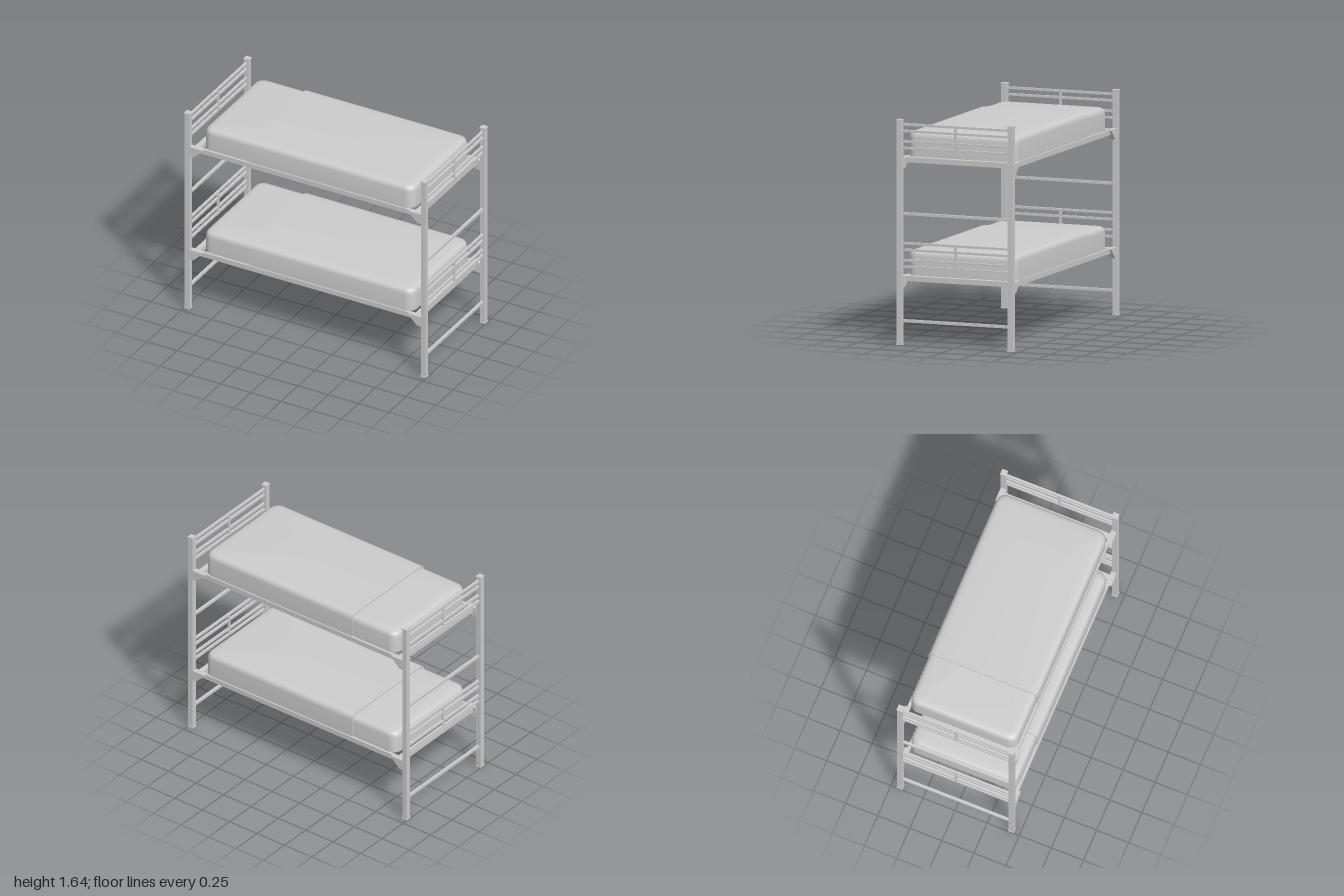
import * as THREE from 'three';
import { toCreasedNormals } from 'three/addons/utils/BufferGeometryUtils.js';

const metal = new THREE.MeshStandardMaterial({ color: 0xcccccc });
const POST_X = 0.977, POST_Z = 0.434;

function box(parent, name, w, h, d, x, y, z) {
  const mesh = new THREE.Mesh(new THREE.BoxGeometry(w, h, d), metal);
  mesh.name = name;
  mesh.position.set(x, y, z);
  parent.add(mesh);
  return mesh;
}

// Soft slab: rounded outline lofted through [inset, height] steps.
// With cutLeft the -x end stays flat and square.
function softSlab(x0, x1, halfZ, radius, profile, cutLeft) {
  const outline = (inset) => {
    const left = x0 + (cutLeft ? 0 : inset), right = x1 - inset, hz = halfZ - inset;
    const pts = [];
    const corner = (sx, sz, start, r, steps) => {
      const cx = sx > 0 ? right - r : left + r;
      for (let i = 0; i <= steps; i++) {
        const a = start + (i / Math.max(steps, 1)) * Math.PI / 2;
        pts.push([cx + r * Math.cos(a), sz * (hz - r) - r * Math.sin(a)]);
      }
    };
    const r = Math.max(radius - inset * 0.5, 0.02);
    const rl = cutLeft ? 0 : r, nl = cutLeft ? 0 : 8;
    corner(1, -1, 0, r, 8);
    corner(-1, -1, Math.PI / 2, rl, nl);
    corner(-1, 1, Math.PI, rl, nl);
    corner(1, 1, Math.PI * 1.5, r, 8);
    return pts;
  };
  const pos = [], index = [];
  let n = 0;
  for (const [inset, y] of profile) {
    const ring = outline(inset);
    n = ring.length;
    for (const [x, z] of ring) pos.push(x, y, z);
  }
  const last = (profile.length - 1) * n, bottom = profile.length * n, top = bottom + 1;
  pos.push((x0 + x1) / 2, profile[0][1], 0, (x0 + x1) / 2, profile[profile.length - 1][1], 0);
  for (let i = 0; i < n; i++) {
    const j = (i + 1) % n;
    for (let k = 0; k < last; k += n) {
      index.push(k + i, k + j, k + n + j, k + i, k + n + j, k + n + i);
    }
    index.push(bottom, j, i, top, last + i, last + j);
  }
  const geo = new THREE.BufferGeometry();
  geo.setAttribute('position', new THREE.Float32BufferAttribute(pos, 3));
  geo.setIndex(index);
  return toCreasedNormals(geo, 0.9);
}

// Edge profile of the bedding: straight side, rounded shoulder, slightly crowned top
const softProfile = (h) => [
  [0, 0], [0, h - 0.045], [0.003, h - 0.028], [0.01, h - 0.015],
  [0.021, h - 0.007], [0.04, h - 0.003], [0.075, h],
];

function addSoft(parent, name, geometry) {
  const mesh = new THREE.Mesh(geometry, metal);
  mesh.name = name;
  parent.add(mesh);
}

// One bunk, with y = 0 at the top of its frame
function createBunk(name) {
  const bunk = new THREE.Group();
  bunk.name = name;

  // Frame
  for (const s of [-1, 1]) {
    box(bunk, 'sideRail', 1.92, 0.038, 0.024, 0, -0.019, s * 0.422);
    box(bunk, 'endCrossbar', 0.042, 0.038, 0.83, s * 0.911, -0.019, 0);
  }
  const slats = 14;
  for (let i = 0; i < slats; i++) {
    box(bunk, 'slat', 0.026, 0.014, 0.82, -0.8 + (1.6 * i) / (slats - 1), -0.012, 0);
  }

  // Corner gussets
  const shape = new THREE.Shape([
    [0.96, 0], [0.852, 0], [0.852, -0.008], [0.925, -0.078], [0.96, -0.082],
  ].map(([x, y]) => new THREE.Vector2(x, y)));
  const gusset = new THREE.ExtrudeGeometry(shape, { depth: 0.038, bevelEnabled: false });
  for (const turn of [0, Math.PI]) {
    for (const z of [0.413, -0.451]) {
      const mesh = new THREE.Mesh(gusset, metal);
      mesh.name = 'cornerGusset';
      mesh.position.z = turn ? -z : z;
      mesh.rotation.y = turn;
      bunk.add(mesh);
    }
  }

  // Guard rails at the head and foot
  for (const s of [-1, 1]) {
    for (const y of [0.245, 0.197, 0.121, 0.073]) {
      box(bunk, 'guardRail', 0.018, 0.017, 0.84, s * POST_X, y, 0);
    }
    box(bunk, 'guardUpright', 0.014, 0.18, 0.018, s * POST_X, 0.157, 0);
  }

  // Bedding
  addSoft(bunk, 'mattress', softSlab(-0.866, 0.866, 0.416, 0.065, softProfile(0.17), false));
  addSoft(bunk, 'blanket', softSlab(-0.475, 0.873, 0.424, 0.07, softProfile(0.181), true));
  return bunk;
}

export function createModel() {
  const model = new THREE.Group();
  model.name = 'bunkBed';

  // Posts with caps and feet
  for (const x of [-POST_X, POST_X]) {
    for (const z of [-POST_Z, POST_Z]) {
      box(model, 'post', 0.039, 1.63, 0.04, x, 0.82, z);
      box(model, 'postCap', 0.046, 0.01, 0.046, x, 1.637, z);
      box(model, 'postFoot', 0.046, 0.008, 0.046, x, 0.004, z);
    }
    // Ladder rungs
    for (const y of [0.177, 0.957]) box(model, 'rung', 0.02, 0.02, 0.84, x, y, 0);
  }

  const lower = createBunk('lowerBunk');
  lower.position.y = 0.497;
  const upper = createBunk('upperBunk');
  upper.position.y = 1.362;
  model.add(lower, upper);
  return model;
}
